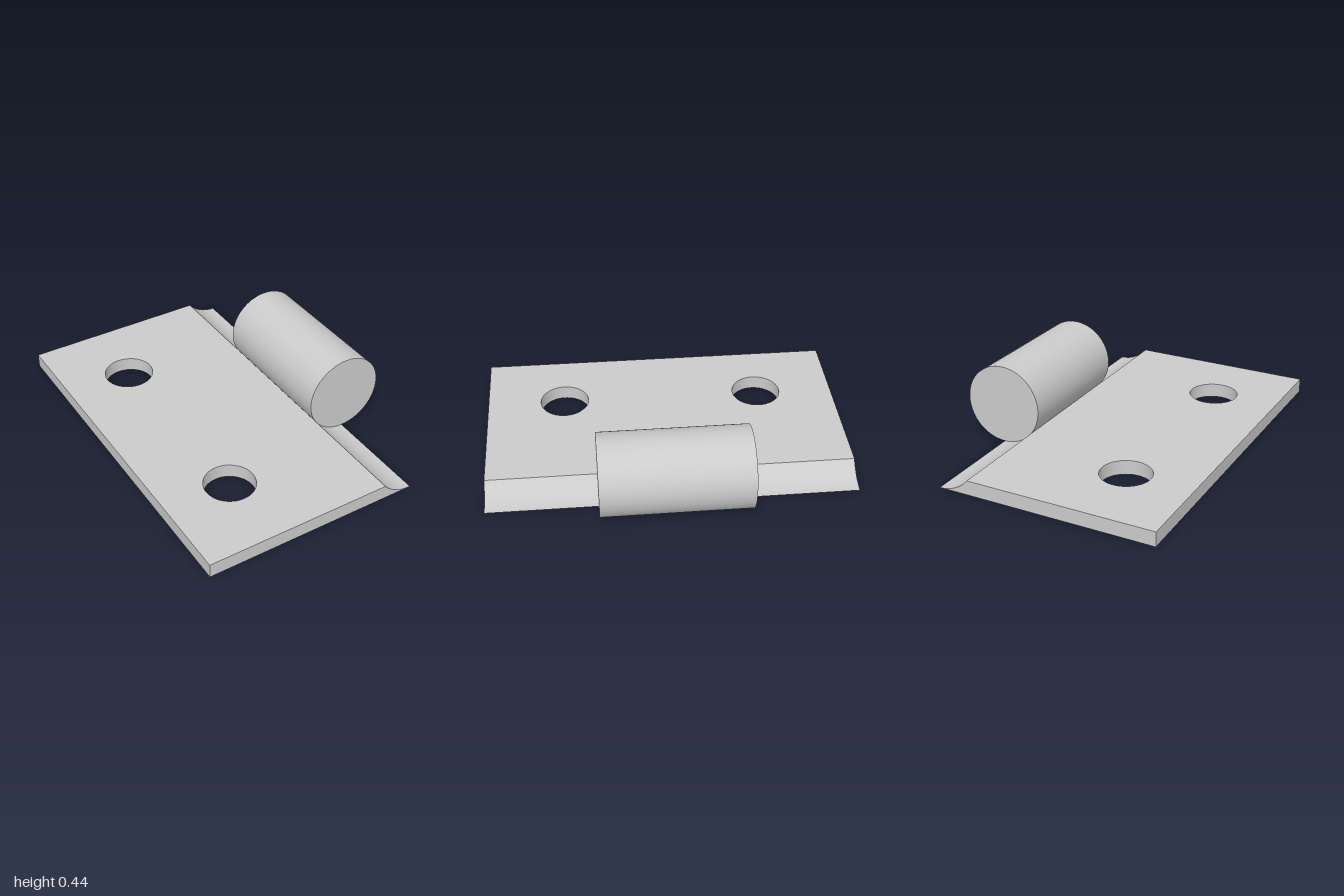
import * as THREE from 'three';
import { toCreasedNormals } from 'three/addons/utils/BufferGeometryUtils.js';

const R = 0.22;            // knuckle radius
const CX = 0.497;          // knuckle axis
const BACK = -0.717;       // far edge of the leaf
const THICK = 0.08;

export function createModel() {
  const group = new THREE.Group();
  const material = new THREE.MeshStandardMaterial({ color: 0xcccccc });

  // Leaf outline with two screw holes
  const outline = new THREE.Shape([
    new THREE.Vector2(BACK, -1), new THREE.Vector2(CX, -1),
    new THREE.Vector2(CX, 1), new THREE.Vector2(BACK, 1),
  ]);
  for (const side of [-1, 1]) {
    outline.holes.push(new THREE.Path().absarc(-0.336, side * 0.56, 0.138, 0, Math.PI * 2, true));
  }
  const leafGeometry = new THREE.ExtrudeGeometry(outline, {
    depth: THICK, steps: 10, bevelEnabled: false, curveSegments: 32,
  }).rotateX(-Math.PI / 2);

  // Hollow the hinge-side edge along the knuckle's circle
  const p = leafGeometry.attributes.position;
  for (let i = 0; i < p.count; i++) {
    const t = Math.min(Math.max(p.getY(i) / THICK, 0), 1);
    const y = THICK * t * t;   // finer layers near the thin lip
    p.setY(i, y);
    if (p.getX(i) > 0.4) p.setX(i, CX - Math.sqrt(R * R - (R - y) ** 2));
  }
  const leaf = new THREE.Mesh(toCreasedNormals(leafGeometry, 0.5), material);
  leaf.name = 'leafPlate';
  group.add(leaf);

  // Solid knuckle resting in the hollow
  const knuckle = new THREE.Mesh(
    new THREE.CylinderGeometry(R, R, 0.8, 72).rotateX(Math.PI / 2), material);
  knuckle.name = 'knuckle';
  knuckle.position.set(CX, R, 0);
  group.add(knuckle);

  return group;
}
